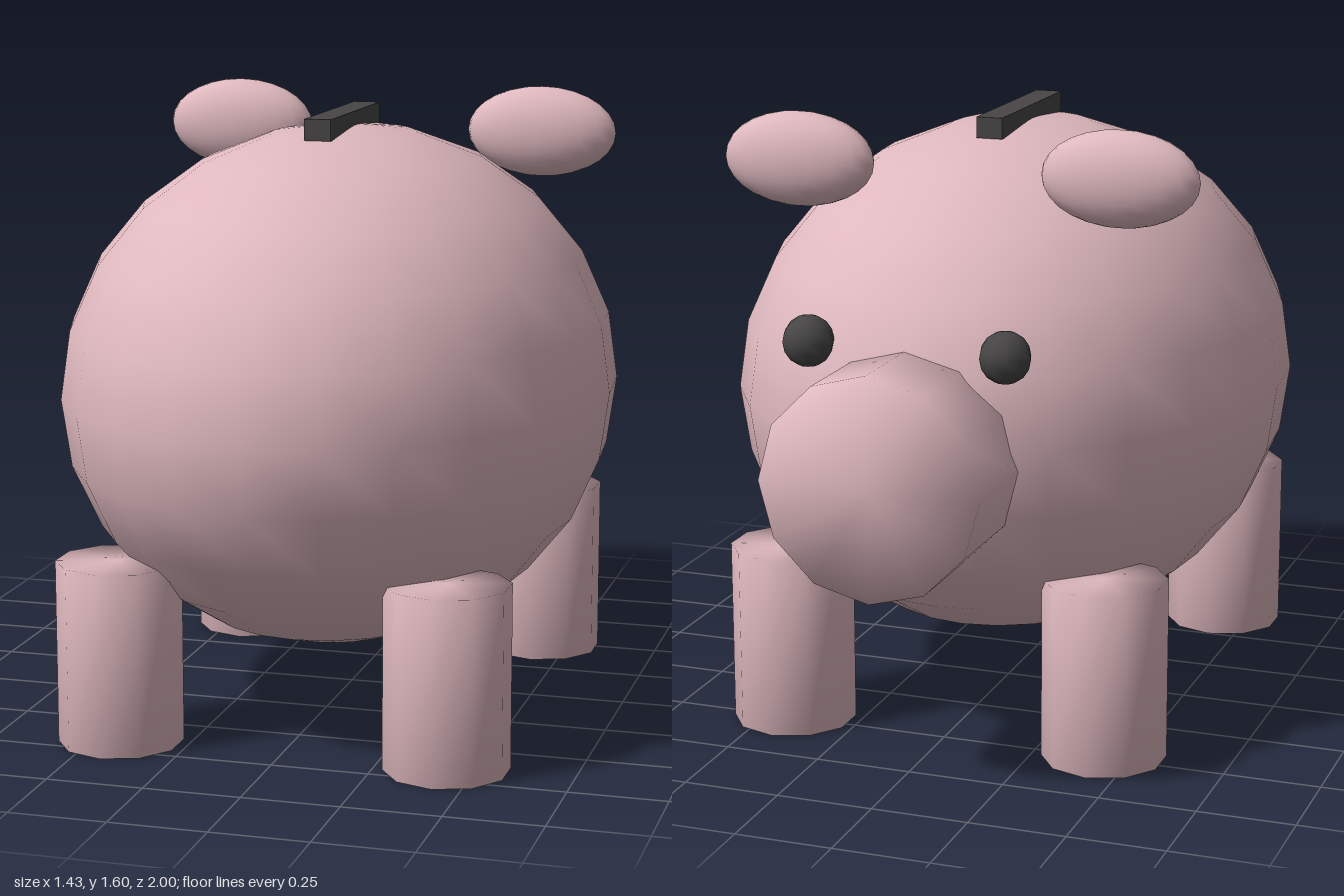
import * as THREE from 'three';
import { mergeVertices } from 'three/addons/utils/BufferGeometryUtils.js';

const pink = new THREE.MeshStandardMaterial({ color: 0xdeb8be });
pink.name = 'palePink';
const dark = new THREE.MeshStandardMaterial({ color: 0x474545 });
dark.name = 'darkGrey';

// Cylinder whose rims share vertices with the caps, for soft shading
function softCylinder(radius, height, sides) {
  const g = new THREE.CylinderGeometry(radius, radius, height, sides);
  g.deleteAttribute('uv');
  g.deleteAttribute('normal');
  const merged = mergeVertices(g);
  merged.computeVertexNormals();
  return merged;
}

export function createModel() {
  const group = new THREE.Group();
  group.name = 'piggyBank';

  const add = (name, geometry, material, x, y, z) => {
    const mesh = new THREE.Mesh(geometry, material);
    mesh.name = name;
    mesh.position.set(x, y, z);
    group.add(mesh);
    return mesh;
  };

  // Egg-shaped body
  add('body', new THREE.SphereGeometry(1, 24, 12).scale(0.716, 0.68, 0.91), pink, 0, 0.855, 0.09);

  // Snout, pointing to -z
  add('snout', softCylinder(0.283, 0.28, 12).rotateX(-Math.PI / 2), pink, 0, 0.807, -0.86);

  // Coin slot on the back
  add('coinSlot', new THREE.BoxGeometry(0.07, 0.055, 0.475), dark, 0, 1.54, 0.088);

  // Paired legs, ears and eyes
  const leg = softCylinder(0.16, 0.475, 10);
  const ear = new THREE.SphereGeometry(1, 20, 14).scale(0.205, 0.122, 0.08);
  const eye = new THREE.SphereGeometry(0.065, 10, 8);
  for (const [side, s] of [['left', 1], ['right', -1]]) {
    add(side + 'SnoutEndLeg', leg, pink, s * 0.428, 0.2375, -0.48);
    add(side + 'RumpEndLeg', leg, pink, s * 0.428, 0.2375, 0.66);
    add(side + 'Ear', ear, pink, s * 0.428, 1.476, -0.387);
    add(side + 'Eye', eye, dark, s * 0.256, 1.095, -0.745);
  }

  return group;
}
